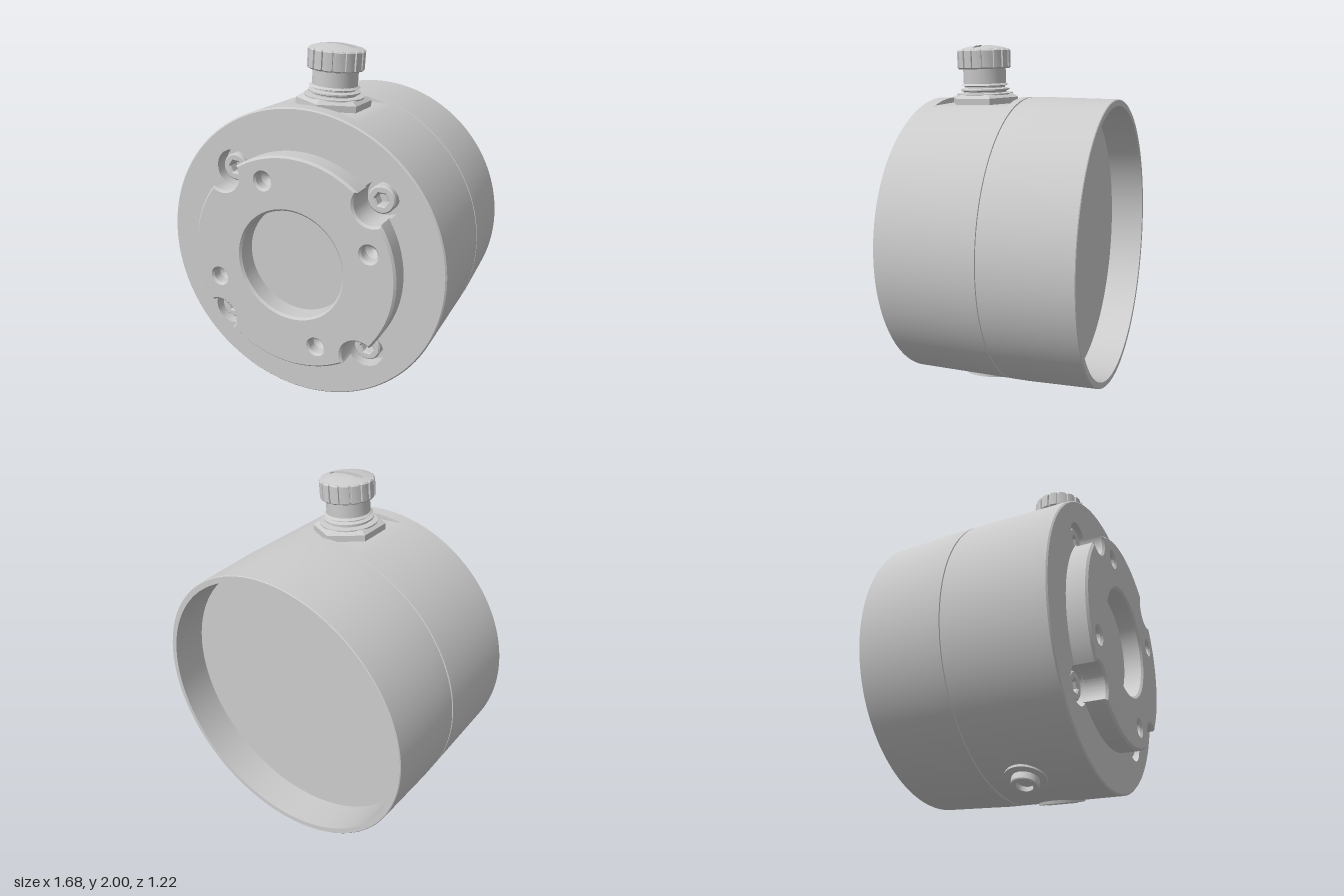
import * as THREE from 'three';
import { toCreasedNormals } from 'three/addons/utils/BufferGeometryUtils.js';

const TAU = Math.PI * 2;
const material = new THREE.MeshStandardMaterial({ color: 0xcccccc });

function part(parent, name, geometry, crease = 0.5) {
  const mesh = new THREE.Mesh(toCreasedNormals(geometry, crease), material);
  mesh.name = name;
  parent.add(mesh);
  return mesh;
}

function group(parent, name) {
  const g = new THREE.Group();
  g.name = name;
  parent.add(g);
  return g;
}

const lathe = (points, segments = 48) =>
  new THREE.LatheGeometry(points.map(([r, h]) => new THREE.Vector2(r, h)), segments);

// Turned around the z axis: points are [radius, z]
const latheZ = (points, segments) => lathe(points, segments).rotateX(Math.PI / 2);

const circle = (x, y, r) => new THREE.Path().absarc(x, y, r, 0, TAU, false);

// Four equal places around the axis, starting at a given angle
const around = (radius, start) => [0, 1, 2, 3].map((i) => {
  const a = start + i * TAU / 4;
  return [radius * Math.cos(a), radius * Math.sin(a)];
});

const screwSpots = around(0.62, TAU / 8);
const holeSpots = around(0.484, TAU / 16);
const shallowAngle = TAU * 202.5 / 360;
const shallowSpot = [0.484 * Math.cos(shallowAngle), 0.484 * Math.sin(shallowAngle)];

// Drum with a seam, a tapered back and a hollow rear, flattened under the plug
function housingGeometry() {
  const g = latheZ([
    [0, -0.4], [0.79, -0.4], [0.79, -0.61], [0.822, -0.61], [0.826, -0.606], [0.833, -0.4], [0.84, -0.2],
    [0.84, -0.105], [0.834, -0.103], [0.834, -0.097], [0.84, -0.095],
    [0.84, -0.05], [0.84, -0.049], [0.84, 0.399], [0.84, 0.4], [0.84, 0.482], [0.832, 0.49],
  ], 144);
  const p = g.attributes.position;
  for (let i = 0; i < p.count; i++) {
    const z = p.getZ(i);
    if (z > -0.0495 && z < 0.3995) p.setY(i, Math.min(p.getY(i), 0.81));
  }
  return g;
}

function frontFaceGeometry() {
  const face = new THREE.Shape().absarc(0, 0, 0.832, 0, TAU, false);
  face.holes = screwSpots.map(([x, y]) => circle(x, y, 0.105));
  return new THREE.ShapeGeometry(face, 72).translate(0, 0, 0.49);
}

// Round plate whose edge is scooped out around each screw
function flangeGeometry() {
  const R = 0.61, D = 0.62, r = 0.1;
  const d = Math.acos((R * R + D * D - r * r) / (2 * R * D));
  const phi = Math.atan2(R * Math.sin(d), R * Math.cos(d) - D);
  const shape = new THREE.Shape();
  for (let i = 0; i < 4; i++) {
    const a = TAU / 8 + i * TAU / 4;
    shape.absarc(0, 0, R, a - TAU / 4 + d, a - d, false);
    shape.absarc(D * Math.cos(a), D * Math.sin(a), r, a - phi, a + phi, true);
  }
  shape.holes = [circle(0, 0, 0.31), ...holeSpots.map(([x, y]) => circle(x, y, 0.045)),
    circle(...shallowSpot, 0.05)];
  return new THREE.ExtrudeGeometry(shape, {
    depth: 0.11, curveSegments: 32, bevelThickness: 0.012, bevelSize: 0.012,
    bevelOffset: -0.012, bevelSegments: 1,
  }).translate(0, 0, 0.483);
}

// Screw head with a hexagonal socket
function screwGeometry() {
  const shape = new THREE.Shape().absarc(0, 0, 0.076, 0, TAU, false);
  const hex = [];
  for (let i = 0; i < 6; i++) {
    hex.push(new THREE.Vector2(0.036 * Math.cos(i * TAU / 6), 0.036 * Math.sin(i * TAU / 6)));
  }
  shape.holes.push(new THREE.Path(hex));
  return new THREE.ExtrudeGeometry(shape, {
    depth: 0.06, curveSegments: 24, bevelThickness: 0.008, bevelSize: 0.008,
    bevelOffset: -0.008, bevelSegments: 1,
  }).translate(0, 0, 0.405);
}

// Ribbed grip of the plug
function gripGeometry() {
  const n = 16, points = [];
  for (let i = 0; i < n; i++) {
    for (const [f, r] of [[0, 0.155], [0.38, 0.157], [0.76, 0.155], [0.8, 0.145], [0.96, 0.145]]) {
      const a = (i + f) * TAU / n;
      points.push(new THREE.Vector2(r * Math.cos(a), r * Math.sin(a)));
    }
  }
  return new THREE.ExtrudeGeometry(new THREE.Shape(points), {
    depth: 0.094, bevelThickness: 0.008, bevelSize: 0.008, bevelOffset: -0.008, bevelSegments: 1,
  }).rotateX(-Math.PI / 2).translate(0, 1.016, 0);
}

// Shallow dome with a coin slot, laid out as rows across a disc
function slottedCapGeometry() {
  const R = 0.148, half = 0.019, length = 0.105;
  const us = [-1, -0.9, -0.73, -0.72, -0.4, 0, 0.4, 0.72, 0.73, 0.9, 1];
  const side = [half + 0.001, 0.05, 0.08, 0.105, 0.125, 0.138, 0.145, 0.1479];
  const vs = [...side.map((v) => -v).reverse(), -half, half, ...side];
  const g = new THREE.PlaneGeometry(1, 1, us.length - 1, vs.length - 1);
  const p = g.attributes.position;
  vs.forEach((v, j) => us.forEach((u, i) => {
    const x = u * Math.sqrt(R * R - v * v);
    const slot = Math.abs(v) <= half && Math.abs(x) < length + 0.001;
    const h = 0.025 * (1 - (x * x + v * v) / (R * R)) - (slot ? 0.026 : 0);
    p.setXYZ(j * us.length + i, x, 1.118 + Math.max(h, 0.001), v);
  }));
  return g;
}

export function createModel() {
  const model = new THREE.Group();
  model.name = 'flangedHousing';

  // Everything is slightly turned about the drum's axis
  const drum = group(model, 'drum');
  drum.position.y = 0.86;
  drum.rotation.z = -0.075;

  part(drum, 'housing', housingGeometry());
  part(drum, 'frontFace', frontFaceGeometry());
  part(drum, 'flange', flangeGeometry());

  // Recessed screws
  for (const [x, y] of screwSpots) {
    const screw = group(drum, 'flangeScrew');
    screw.position.set(x, y, 0);
    part(screw, 'counterbore', latheZ([[0.105, 0.49], [0.105, 0.4], [0, 0.4]]));
    part(screw, 'screwHead', screwGeometry());
  }

  // Drill-point bottoms of the small holes
  for (const [x, y] of holeSpots) {
    part(drum, 'holeBottom', latheZ([[0.047, 0.54], [0, 0.495]], 24)).position.set(x, y, 0);
  }

  // Filler plug on top: nut, threaded neck, ribbed grip, slotted cap
  const plug = group(drum, 'plug');
  plug.position.z = 0.18;
  part(plug, 'nut', new THREE.CylinderGeometry(0.208, 0.208, 0.05, 6).translate(0, 0.82, 0), 0.1);
  part(plug, 'nutChamfer', new THREE.CylinderGeometry(0.175, 0.208, 0.02, 6).translate(0, 0.855, 0), 0.1);
  part(plug, 'neck', lathe([
    [0.165, 0.86], [0.165, 0.868], [0.125, 0.872], [0.125, 0.878], [0.143, 0.885], [0.143, 0.893],
    [0.118, 0.9], [0.118, 0.908], [0.14, 0.914], [0.125, 0.924], [0.125, 1.012],
  ]));
  part(plug, 'grip', gripGeometry());
  part(plug, 'slottedCap', slottedCapGeometry());

  // Port ring and drain pin underneath
  const port = group(drum, 'portRing');
  port.position.z = 0.12;
  port.rotation.z = Math.PI + 0.283;
  part(port, 'port', lathe([
    [0.135, 0.8], [0.13, 0.847], [0.105, 0.85], [0.098, 0.841], [0.09, 0.841],
    [0.085, 0.853], [0.064, 0.853], [0.06, 0.841], [0, 0.841],
  ]));

  const drain = group(drum, 'drainPin');
  drain.position.z = 0.12;
  drain.rotation.z = Math.PI - 0.283;
  part(drain, 'drainSeat', lathe([[0.115, 0.8], [0.112, 0.846], [0.08, 0.849], [0, 0.849]]));
  part(drain, 'pin', lathe([
    [0.074, 0.84], [0.074, 0.885], [0.069, 0.89], [0.045, 0.89], [0.042, 0.865], [0, 0.865],
  ]));

  return model;
}
